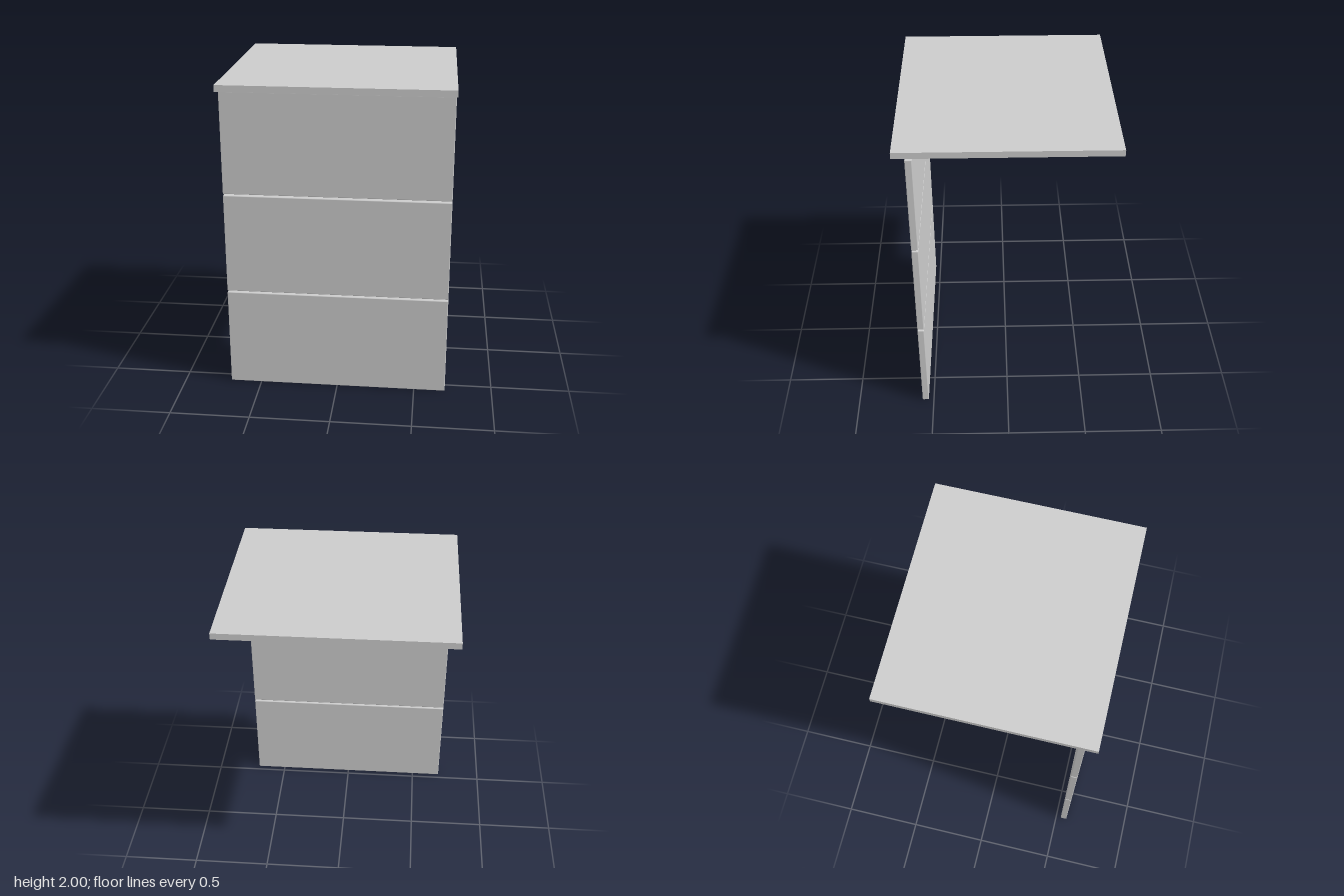
import * as THREE from 'three';
import { RoundedBoxGeometry } from 'three/addons/geometries/RoundedBoxGeometry.js';

export function createModel() {
  const group = new THREE.Group();
  const material = new THREE.MeshStandardMaterial({ color: 0xcccccc });

  // Flat worktop slab
  const top = new THREE.Mesh(new THREE.BoxGeometry(1.41, 0.04, 1.3), material);
  top.name = 'worktop';
  top.position.y = 1.98;
  group.add(top);

  // Three equal drawer fronts with softened edges and narrow gaps
  const height = 0.642, pitch = 0.652;
  const frontGeometry = new RoundedBoxGeometry(1.4, height, 0.042, 2, 0.005);
  ['lower', 'middle', 'upper'].forEach((level, i) => {
    const front = new THREE.Mesh(frontGeometry, material);
    front.name = level + 'DrawerFront';
    front.position.set(0, height / 2 + i * pitch, 0.555);
    group.add(front);
  });

  return group;
}
